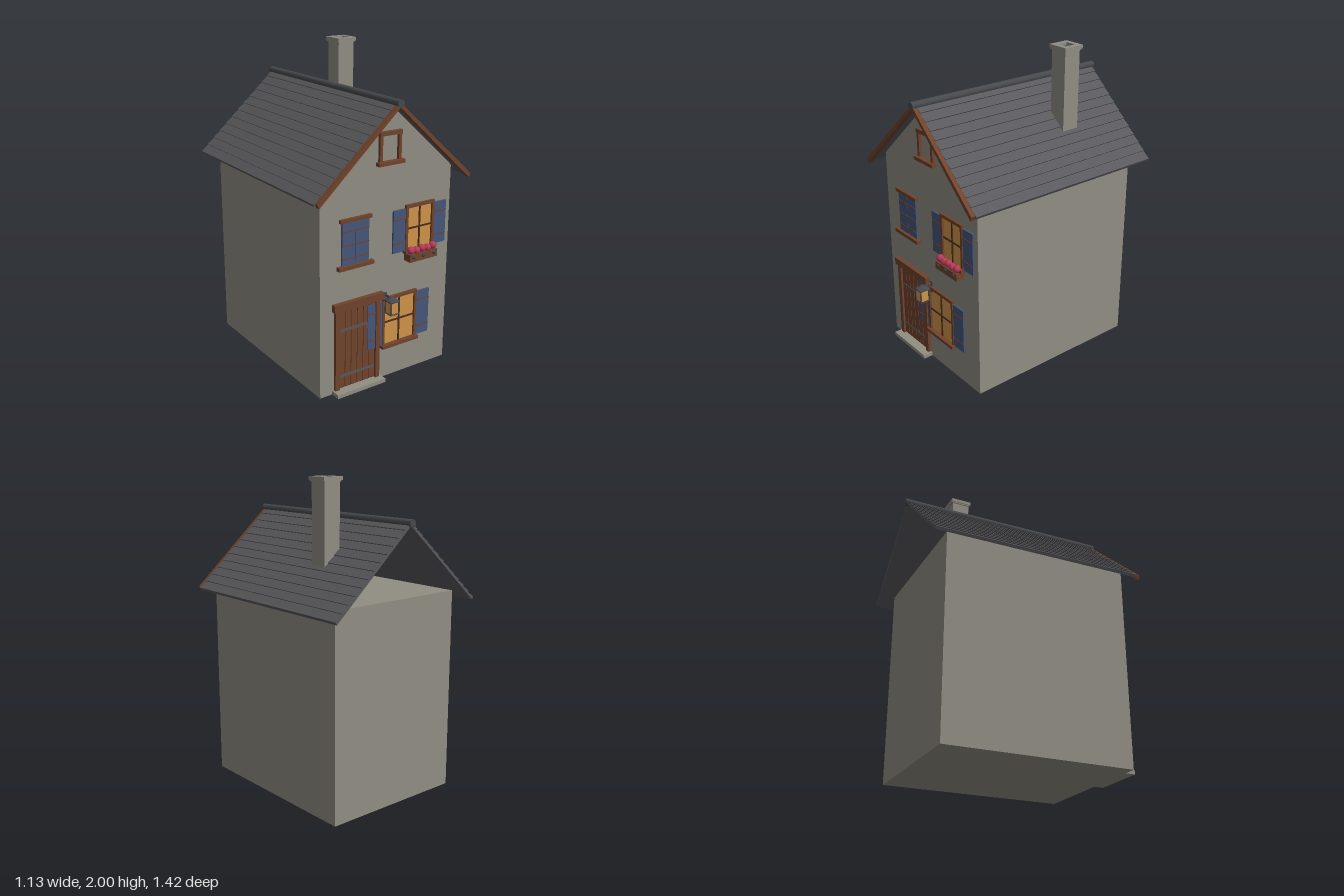
import * as THREE from 'three';

const material = (name, color, side = THREE.FrontSide) => {
  const m = new THREE.MeshStandardMaterial({ color, side });
  m.name = name;
  return m;
};

export function createModel() {
  const stone = material('stone', 0x918e83);
  const slate = material('slate', 0x59595d);
  const metal = material('dark metal', 0x47494d);
  const wood = material('wood', 0x70432c);
  const darkWood = material('dark wood', 0x4a2b1d);
  const blue = material('shutter blue', 0x46557a);
  const amber = material('lit glass', 0xd0954a);
  const pink = material('flower pink', 0xb83b58);
  const leaf = material('foliage', 0x454a42);

  const house = new THREE.Group();
  house.name = 'house';
  const FRONT = 0.6;

  const add = (name, geometry, mat, parent = house) => {
    const mesh = new THREE.Mesh(geometry, mat);
    mesh.name = name;
    parent.add(mesh);
    return mesh;
  };
  // Box given by its limits on each axis
  const box = (name, mat, x0, x1, y0, y1, z0, z1, parent = house) => {
    const mesh = add(name, new THREE.BoxGeometry(x1 - x0, y1 - y0, z1 - z0), mat, parent);
    mesh.position.set((x0 + x1) / 2, (y0 + y1) / 2, (z0 + z1) / 2);
    return mesh;
  };
  // Box fixed to the front wall, standing out by depth
  const onWall = (name, mat, x0, x1, y0, y1, depth, parent = house) =>
    box(name, mat, x0, x1, y0, y1, FRONT - 0.005, FRONT + depth, parent);
  const polygon = (points) => new THREE.Shape(points.map(([x, y]) => new THREE.Vector2(x, y)));
  const extrude = (shape, z0, z1) =>
    new THREE.ExtrudeGeometry(shape, { depth: z1 - z0, bevelEnabled: false }).translate(0, 0, z0);
  const group = (name) => {
    const g = new THREE.Group();
    g.name = name;
    house.add(g);
    return g;
  };

  // Walls: a box, with a gable at the front only
  box('walls', stone, -0.48, 0.48, 0, 1.29, -FRONT, FRONT);
  add('frontGable', extrude(polygon([[-0.48, 1.29], [0.48, 1.29], [0.48, 1.3], [0, 1.732], [-0.48, 1.3]]), FRONT - 0.03, FRONT), stone);

  // Roof: stepped slate courses on both slopes, with boards along the front
  const APEX = 1.75, EAVE = 0.56, SLOPE = 0.893, COURSES = 12;
  for (const s of [-1, 1]) {
    const points = [[0, APEX - 0.018], [0, APEX]];
    for (let i = 1; i <= COURSES; i++) {
      const x = (EAVE * i) / COURSES, y = APEX - SLOPE * x;
      points.push([s * (x + 0.004), y + 0.005]);
      if (i < COURSES) points.push([s * x, y]);
    }
    points.push([s * (EAVE - 0.006), APEX - 0.018 - SLOPE * (EAVE - 0.006)]);
    const side = s < 0 ? 'right' : 'left';
    add(side + 'RoofSlope', extrude(polygon(points), -0.7, 0.668), slate);
    const end = EAVE - 0.006;
    add(side + 'BargeBoard', extrude(polygon([
      [0, APEX - 0.026], [0, APEX + 0.002],
      [s * end, APEX + 0.002 - SLOPE * end], [s * (end - 0.01), APEX - 0.024 - SLOPE * end],
    ]), 0.664, 0.695), wood);
  }
  const ridge = add('ridge', new THREE.CylinderGeometry(0.024, 0.024, 1.415, 10), metal);
  ridge.rotation.x = Math.PI / 2;
  ridge.position.set(0, 1.746, -0.0075);

  // Chimney with a hollow cap
  const chimney = group('chimney');
  chimney.position.set(0.25, 0, -0.247);
  box('stack', stone, -0.058, 0.058, 1.29, 1.975, -0.058, 0.058, chimney);
  const square = (r) => [[-r, -r], [r, -r], [r, r], [-r, r]];
  const capShape = polygon(square(0.07));
  capShape.holes.push(polygon(square(0.038)));
  add('cap', extrude(capShape, 0, 0.022).rotateX(-Math.PI / 2).translate(0, 1.978, 0), stone, chimney);
  box('capNeck', stone, -0.065, 0.065, 1.97, 1.978, -0.065, 0.065, chimney);
  box('flue', slate, -0.038, 0.038, 1.976, 1.982, -0.038, 0.038, chimney);

  // Shutter with wooden battens
  const shutter = (name, x0, x1, y0, y1, battens) => {
    const g = group(name);
    onWall('panel', blue, x0, x1, y0, y1, 0.011, g);
    for (const f of battens) {
      const y = y0 + (y1 - y0) * f;
      onWall('batten', wood, x0, x1, y - 0.003, y + 0.003, 0.014, g);
    }
  };
  // Lit window: glass, frame and glazing bars
  const litWindow = (name, x0, x1, y0, y1, w) => {
    const g = group(name);
    const cx = (x0 + x1) / 2, cy = (y0 + y1) / 2;
    onWall('glass', amber, x0, x1, y0, y1, 0.004, g);
    onWall('leftJamb', wood, x1, x1 + w, y0, y1, 0.016, g);
    onWall('rightJamb', wood, x0 - w, x0, y0, y1, 0.016, g);
    onWall('head', wood, x0 - w, x1 + w, y1, y1 + 0.02, 0.018, g);
    onWall('upright', darkWood, cx - 0.005, cx + 0.005, y0, y1, 0.01, g);
    onWall('crossbar', darkWood, x0, x1, cy - 0.005, cy + 0.005, 0.01, g);
    onWall('sill', wood, x0 - w - 0.01, x1 + w + 0.01, y0 - 0.02, y0, 0.035, g);
  };

  // Upper windows
  shutter('closedRightShutter', -0.333, -0.239, 0.82, 1.085, [0.16, 0.46, 0.78]);
  shutter('closedLeftShutter', -0.237, -0.143, 0.82, 1.085, [0.16, 0.46, 0.78]);
  onWall('closedWindowHead', wood, -0.35, -0.127, 1.083, 1.105, 0.02);
  onWall('closedWindowSill', wood, -0.365, -0.116, 0.797, 0.82, 0.03);
  litWindow('upperWindow', 0.147, 0.33, 0.82, 1.085, 0.018);
  shutter('upperRightShutter', 0.037, 0.128, 0.815, 1.085, [0.22, 0.78]);
  shutter('upperLeftShutter', 0.349, 0.444, 0.815, 1.085, [0.22, 0.78]);

  // Flower box
  const flowerBox = group('flowerBox');
  onWall('trough', wood, 0.132, 0.345, 0.752, 0.8, 0.06, flowerBox);
  for (let i = 0; i < 5; i++) {
    const x = 0.153 + i * 0.0425;
    add('flower', new THREE.SphereGeometry(0.024, 10, 8), pink, flowerBox)
      .position.set(x, 0.818 + (i % 2 ? -0.003 : 0.003), 0.638);
  }
  for (const x of [0.16, 0.235, 0.318]) {
    add('leaves', new THREE.SphereGeometry(0.015, 8, 6), leaf, flowerBox).position.set(x, 0.783, 0.655);
  }

  // Lower window
  litWindow('lowerWindow', -0.016, 0.213, 0.228, 0.523, 0.016);
  shutter('lowerRightShutter', -0.143, -0.032, 0.225, 0.523, [0.2, 0.8]);
  shutter('lowerLeftShutter', 0.226, 0.333, 0.225, 0.523, [0.2, 0.8]);

  // Door of planks with strap hinges, in a heavy frame
  const door = group('door');
  onWall('backing', darkWood, -0.355, -0.08, 0.025, 0.54, 0.003, door);
  const plank = 0.265 / 6;
  for (let i = 0; i < 6; i++) {
    const x = -0.35 + i * plank;
    onWall('plank', wood, x + 0.002, x + plank - 0.002, 0.03, 0.535, 0.007, door);
  }
  for (const y of [0.41, 0.107]) onWall('strapHinge', slate, -0.345, -0.09, y - 0.008, y + 0.008, 0.0095, door);
  onWall('rightPost', wood, -0.382, -0.35, 0.025, 0.545, 0.02, door);
  onWall('leftPost', wood, -0.085, -0.055, 0.025, 0.545, 0.02, door);
  onWall('lintel', wood, -0.395, -0.037, 0.545, 0.592, 0.03, door);
  onWall('threshold', stone, -0.395, -0.04, 0, 0.025, 0.065, door);

  // Attic opening frame
  const attic = group('atticWindow');
  for (const s of [-1, 1]) {
    const x = s * 0.068;
    onWall('jamb', wood, x - 0.01, x + 0.01, 1.4, 1.555, 0.018, attic);
  }
  onWall('head', wood, -0.08, 0.08, 1.553, 1.577, 0.022, attic);
  onWall('sill', wood, -0.095, 0.095, 1.38, 1.402, 0.035, attic);

  // Lantern on a braced arm
  const lantern = group('lantern');
  lantern.position.set(-0.01, 0, 0.674);
  box('glass', amber, -0.027, 0.027, 0.47, 0.545, -0.027, 0.027, lantern);
  box('base', metal, -0.032, 0.032, 0.463, 0.47, -0.032, 0.032, lantern);
  box('rim', metal, -0.034, 0.034, 0.543, 0.55, -0.034, 0.034, lantern);
  for (const x of [-0.028, 0.028]) for (const z of [-0.028, 0.028])
    box('corner', metal, x - 0.003, x + 0.003, 0.468, 0.545, z - 0.003, z + 0.003, lantern);
  const hood = add('hood', new THREE.CylinderGeometry(0.014, 0.046, 0.02, 4), metal, lantern);
  hood.rotation.y = Math.PI / 4;
  hood.position.y = 0.56;
  box('arm', metal, -0.005, 0.005, 0.556, 0.566, -0.076, 0, lantern);
  box('wallPlate', metal, -0.012, 0.012, 0.5, 0.575, -0.076, -0.066, lantern);
  const brace = box('brace', metal, -0.004, 0.004, 0.531, 0.539, -0.083, -0.023, lantern);
  brace.rotation.x = -Math.PI / 4;

  return house;
}
